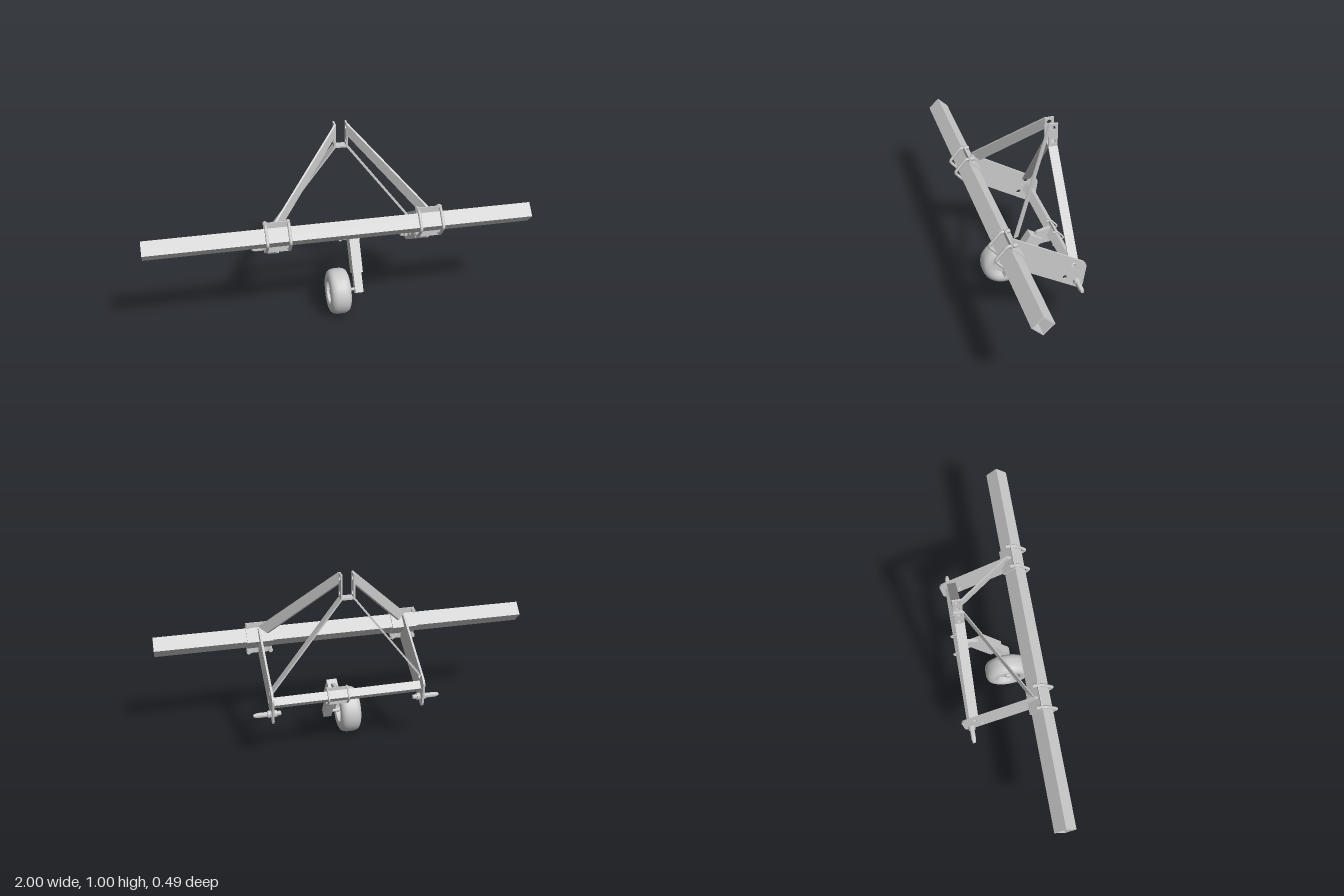
import * as THREE from 'three';
import { ConvexGeometry } from 'three/addons/geometries/ConvexGeometry.js';
import { toCreasedNormals } from 'three/addons/utils/BufferGeometryUtils.js';

const MID = 0.0625; // centre of the hitch frame
const HALF = 0.393; // side plate distance from that centre
const steel = new THREE.MeshStandardMaterial({ color: 0xcccccc });
const V = (x, y, z) => new THREE.Vector3(x, y, z);

function add(parent, name, geometry) {
  const mesh = new THREE.Mesh(geometry, steel);
  mesh.name = name;
  parent.add(mesh);
  return mesh;
}

const toShape = (pts) => new THREE.Shape(pts.map(([z, y]) => new THREE.Vector2(z, y)));

function circleHole(shape, z, y, r) {
  shape.holes.push(new THREE.Path().absarc(z, y, r, 0, Math.PI * 2, true));
}

// Extrude a (z, y) outline along x, centred on x
function extrudeX(shape, width, x) {
  const g = new THREE.ExtrudeGeometry(shape, { depth: width, bevelEnabled: false, curveSegments: 16 });
  g.translate(0, 0, -width / 2);
  g.rotateY(-Math.PI / 2);
  return g.translate(x, 0, 0);
}

// Turned part along x from [radius, x] pairs
function turnedX(profile, segments = 24) {
  const g = new THREE.LatheGeometry(profile.map(([r, x]) => new THREE.Vector2(r, x)), segments);
  g.rotateZ(-Math.PI / 2);
  return toCreasedNormals(g, 0.6);
}

// Flat strap: quad given in space, thickened along x
function strap(quad, thick) {
  return new ConvexGeometry(quad.flatMap((p) => [V(p.x - thick / 2, p.y, p.z), V(p.x + thick / 2, p.y, p.z)]));
}

// Hollow square tube standing on its corner
function diamondTube(half, wall, length, x) {
  const ring = (h) => [[h, 0], [0, h], [-h, 0], [0, -h]];
  const s = toShape(ring(half));
  s.holes.push(new THREE.Path(ring(half - wall).reverse().map(([a, b]) => new THREE.Vector2(a, b))));
  return extrudeX(s, length, x);
}

// Path with straight runs and rounded corners
function roundedPath(pts, r) {
  const path = new THREE.CurvePath();
  let last = pts[0];
  for (let i = 1; i < pts.length - 1; i++) {
    const a = pts[i].clone().add(pts[i - 1].clone().sub(pts[i]).setLength(r));
    const b = pts[i].clone().add(pts[i + 1].clone().sub(pts[i]).setLength(r));
    path.add(new THREE.LineCurve3(last, a));
    path.add(new THREE.QuadraticBezierCurve3(a, pts[i], b));
    last = b;
  }
  path.add(new THREE.LineCurve3(last, pts[pts.length - 1]));
  return path;
}

// Angled bracket with two bolts wrapped round a tube; h is the tube's half diagonal
function clamp(name, h, width, spread, boltR) {
  const g = new THREE.Group();
  g.name = name;
  const t = h * 0.13, f = h * 1.55;
  add(g, 'clampBracket', extrudeX(toShape([
    [0, f], [0, h], [-h, 0], [0, -h], [0, -f],
    [-t, -f], [-t, -h - t * 0.4], [-h - t * 1.4, 0], [-t, h + t * 0.4], [-t, f],
  ]), width, 0));
  const y = h * 1.32;
  for (const x of [-spread, spread]) {
    const path = roundedPath([
      V(x, y, -h * 0.55), V(x, y, h * 0.3), V(x, 0, h * 1.42),
      V(x, -y, h * 0.3), V(x, -y, -h * 0.55),
    ], h * 0.25);
    add(g, 'clampBolt', new THREE.TubeGeometry(path, 60, boltR, 10));
    for (const s of [-1, 1]) {
      const nut = add(g, 'clampNut', new THREE.CylinderGeometry(boltR * 1.5, boltR * 1.5, h * 0.3, 6));
      nut.rotation.x = Math.PI / 2;
      nut.position.set(x, s * y, -h * 0.35);
    }
  }
  return g;
}

// One side of the hitch: plate, clamp, pin, mast straps
function hitchSide(s) {
  const g = new THREE.Group();
  g.name = s > 0 ? 'leftHitchSide' : 'rightHitchSide';
  const x = MID + s * HALF, top = MID + s * 0.032;

  const plate = toShape([[0.152, 0.608], [0.13, 0.622], [-0.22, 0.41]]);
  plate.quadraticCurveTo(-0.252, 0.39, -0.247, 0.365);
  plate.lineTo(-0.233, 0.262);
  plate.quadraticCurveTo(-0.226, 0.232, -0.2, 0.247);
  plate.lineTo(0.162, 0.465);
  plate.lineTo(0.162, 0.502);
  plate.lineTo(0.105, 0.558);
  circleHole(plate, -0.177, 0.394, 0.012);
  circleHole(plate, -0.135, 0.326, 0.012);
  add(g, 'sidePlate', extrudeX(plate, 0.011, x));

  const c = clamp('toolbarClamp', 0.055, 0.135, 0.058, 0.008);
  c.position.set(x, 0.558, 0.162);
  g.add(c);

  const pin = add(g, 'hitchPin', turnedX([
    [0, -0.045], [0.009, -0.045], [0.012, -0.042], [0.012, -0.024], [0.018, -0.024], [0.018, 0.024],
    [0.013, 0.026], [0.013, 0.075], [0.008, 0.095], [0, 0.097],
  ]));
  pin.position.set(x, 0.288, -0.197);
  if (s < 0) pin.rotation.y = Math.PI;

  // Mast: drilled upright tab, bent rear strap, front brace
  const tab = toShape([[-0.205, 0.87], [-0.157, 0.87], [-0.157, 1], [-0.205, 1]]);
  for (const y of [0.9, 0.975]) circleHole(tab, -0.181, y, 0.012);
  add(g, 'mastTab', extrudeX(tab, 0.009, top));
  add(g, 'rearMastStrap', strap([
    V(top, 0.872, -0.157), V(top, 0.872, -0.205), V(x, 0.4, -0.205), V(x, 0.4, -0.157),
  ], 0.01));
  const along = (t, y) => V(top + (x - top) * t, y, -0.157 + 0.287 * t);
  add(g, 'frontMastBrace', strap([along(0, 1), along(0, 0.94), along(0.89, 0.603), along(1, 0.63)], 0.011));
  return g;
}

// Wheel arm and wheel
function gaugeWheel() {
  const g = new THREE.Group();
  g.name = 'gaugeWheel';
  const ax = 0.115;

  const c = clamp('wheelArmClamp', 0.031, 0.115, 0.052, 0.005);
  c.rotation.y = Math.PI;
  c.position.set(ax, 0.343, -0.187);
  g.add(c);

  const web = toShape([[-0.155, 0.352], [-0.17, 0.385], [-0.1, 0.372], [-0.04, 0.3], [-0.05, 0.22], [-0.083, 0.272]]);
  web.quadraticCurveTo(-0.1, 0.298, -0.17, 0.296);
  web.lineTo(-0.155, 0.335);
  add(g, 'armWeb', extrudeX(web, 0.02, ax));

  // Sleeve tube with the sliding leg inside
  const sleeve = toShape([[0.04, 0.1], [-0.04, 0.1], [-0.04, -0.1], [0.04, -0.1]]);
  sleeve.holes.push(new THREE.Path([[0.024, 0.094], [0.024, -0.101 + 0.001], [-0.024, -0.1], [-0.024, 0.094]]
    .map(([a, b]) => new THREE.Vector2(a, b * 0.5))));
  const leg = new THREE.Group();
  leg.name = 'wheelLeg';
  leg.position.set(ax, 0.275, -0.04);
  leg.rotation.x = -0.57;
  g.add(leg);
  add(leg, 'legSleeve', new THREE.BoxGeometry(0.054, 0.184, 0.079));
  add(leg, 'slidingLeg', new THREE.BoxGeometry(0.044, 0.2, 0.045)).position.y = -0.1;

  const half = [[0.06, 0.022], [0.065, 0.05], [0.078, 0.056], [0.095, 0.055], [0.11, 0.048], [0.119, 0.036], [0.123, 0.018]];
  const wheel = add(g, 'tyre', turnedX([
    [0, -0.022], ...half.map(([r, x]) => [r, -x]), ...half.slice().reverse(), [0, 0.022],
  ], 56));
  wheel.position.set(0.003, 0.125, 0.055);
  const axle = add(g, 'axle', turnedX([
    [0, -0.045], [0.014, -0.045], [0.02, -0.035], [0.02, 0.035], [0.009, 0.038], [0.009, 0.12], [0, 0.12],
  ]));
  axle.position.set(0.003, 0.125, 0.055);
  return g;
}

export function createModel() {
  const model = new THREE.Group();
  model.name = 'toolbarHitch';
  add(model, 'toolbar', diamondTube(0.055, 0.009, 2, 0)).position.set(0, 0.558, 0.162);
  add(model, 'crossTube', diamondTube(0.031, 0.006, HALF * 2, MID)).position.set(0, 0.343, -0.187);
  add(model, 'mastSpacer', new THREE.BoxGeometry(0.07, 0.009, 0.048)).position.set(MID, 0.873, -0.181);
  model.add(hitchSide(1), hitchSide(-1), gaugeWheel());
  return model;
}
